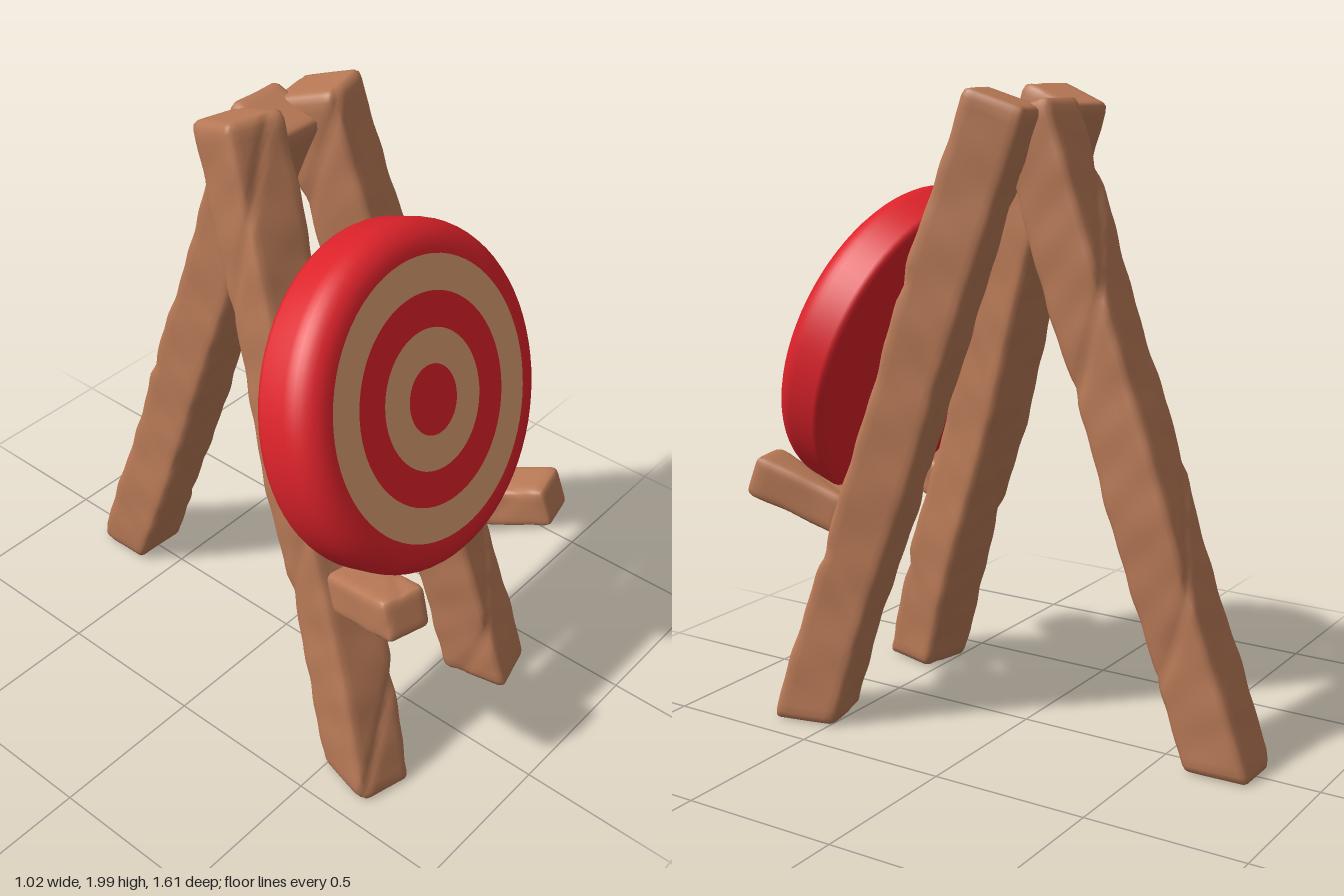
import * as THREE from 'three';
import { mergeVertices } from 'three/addons/utils/BufferGeometryUtils.js';

const WOOD = new THREE.MeshStandardMaterial({ color: 0xb97a57 });
const RED = new THREE.MeshStandardMaterial({ color: 0xdc222a });
const TAN = new THREE.MeshStandardMaterial({ color: 0xd99b70 });

// Uneven hewn surface: waves along the grain plus a few narrow notches
function grain(x, y, z, seed) {
  const waves = 0.5 * Math.sin(9 * y + seed + 9 * x)
    + 0.3 * Math.sin(23 * y + 2 * seed + 16 * x - 13 * z)
    + 0.25 * Math.sin(43 * y + 3 * seed - 19 * x + 25 * z);
  const notch = Math.max(0, Math.sin(7 * y + 14 * x + 10 * z + seed * 1.7)) ** 40;
  return 1 + 0.045 * waves - 0.07 * notch;
}

// Rough squared timber from a to b; a standing one has its foot cut level
function timber(name, a, b, width, depth, seed, standing) {
  const start = new THREE.Vector3(...a), end = new THREE.Vector3(...b);
  const dir = end.clone().sub(start);
  const length = dir.length();
  dir.normalize();
  const side = new THREE.Vector3(0, 1, 0).cross(dir).normalize();
  const face = side.clone().cross(dir);

  let geo = new THREE.BoxGeometry(width, length, depth, 10, Math.ceil(length * 36), 10);
  geo.deleteAttribute('normal');
  geo.deleteAttribute('uv');
  geo = mergeVertices(geo);

  const r = 0.024;
  const half = new THREE.Vector3(width / 2 - r, length / 2 - r, depth / 2 - r);
  const low = half.clone().negate();
  const pos = geo.attributes.position;
  const p = new THREE.Vector3(), core = new THREE.Vector3();
  for (let i = 0; i < pos.count; i++) {
    p.fromBufferAttribute(pos, i);
    // rounded edges
    core.copy(p).clamp(low, half);
    p.sub(core).setLength(r).add(core);
    // uneven sides and a slightly wandering axis
    const s = grain(p.x, p.y, p.z, seed);
    const t = p.y / length + 0.5;
    p.x = p.x * s + 0.005 * Math.sin(5 * p.y + seed);
    p.z = p.z * s + 0.004 * Math.sin(6 * p.y + 2 * seed);
    // level foot
    if (standing) p.y -= p.z * face.y / dir.y * Math.max(0, 1 - t) ** 4;
    pos.setXYZ(i, p.x, p.y, p.z);
  }
  geo.applyMatrix4(new THREE.Matrix4().makeBasis(side, dir, face)
    .setPosition(start.add(end).multiplyScalar(0.5)));
  geo.computeVertexNormals();
  const mesh = new THREE.Mesh(geo, WOOD);
  mesh.name = name;
  return mesh;
}

// Thick round target, built facing +y and then leaned back against the legs
function createTarget() {
  const target = new THREE.Group();
  target.name = 'target';
  const R = 0.51, thick = 0.19, bevel = 0.085, face = 0.41;

  const profile = [[0, -thick], [0.47, -thick], [0.495, -thick], [0.506, -thick + 0.006], [R, -thick + 0.02]];
  for (let i = 0; i <= 8; i++) {
    const a = i / 8 * Math.PI / 2;
    profile.push([R - bevel + bevel * Math.cos(a), -bevel + bevel * Math.sin(a)]);
  }
  profile.push([face, 0]);
  const body = new THREE.Mesh(
    new THREE.LatheGeometry(profile.map(q => new THREE.Vector2(...q)), 72), RED);
  body.name = 'targetBody';
  target.add(body);

  // alternating painted rings filling the flat front
  const radii = [0, 0.102, 0.204, 0.307, face];
  for (let i = 0; i < 4; i++) {
    const geo = i === 0 ? new THREE.CircleGeometry(radii[1], 72)
      : new THREE.RingGeometry(radii[i], radii[i + 1], 72);
    geo.rotateX(-Math.PI / 2);
    const ring = new THREE.Mesh(geo, i % 2 ? TAN : RED);
    ring.name = i === 0 ? 'bullseye' : 'ring' + i;
    target.add(ring);
  }
  target.position.set(0, 1.225, 0.55);
  target.rotation.x = THREE.MathUtils.degToRad(70);
  return target;
}

export function createModel() {
  const model = new THREE.Group();
  model.name = 'targetStand';
  // tripod legs
  model.add(timber('rightFrontLeg', [-0.315, 0, 0.615], [-0.145, 1.962, -0.05], 0.19, 0.205, 1.3, true));
  model.add(timber('leftFrontLeg', [0.305, 0, 0.615], [0.155, 1.957, -0.02], 0.19, 0.205, 4.1, true));
  model.add(timber('backLeg', [0, 0, -0.705], [0, 1.925, -0.03], 0.195, 0.2, 2.6, true));
  // pegs holding the target
  model.add(timber('rightPeg', [-0.262, 0.66, 0.45], [-0.345, 0.768, 0.745], 0.15, 0.135, 0.7, false));
  model.add(timber('leftPeg', [0.262, 0.67, 0.47], [0.335, 0.785, 0.782], 0.15, 0.135, 5.2, false));
  model.add(createTarget());
  return model;
}
